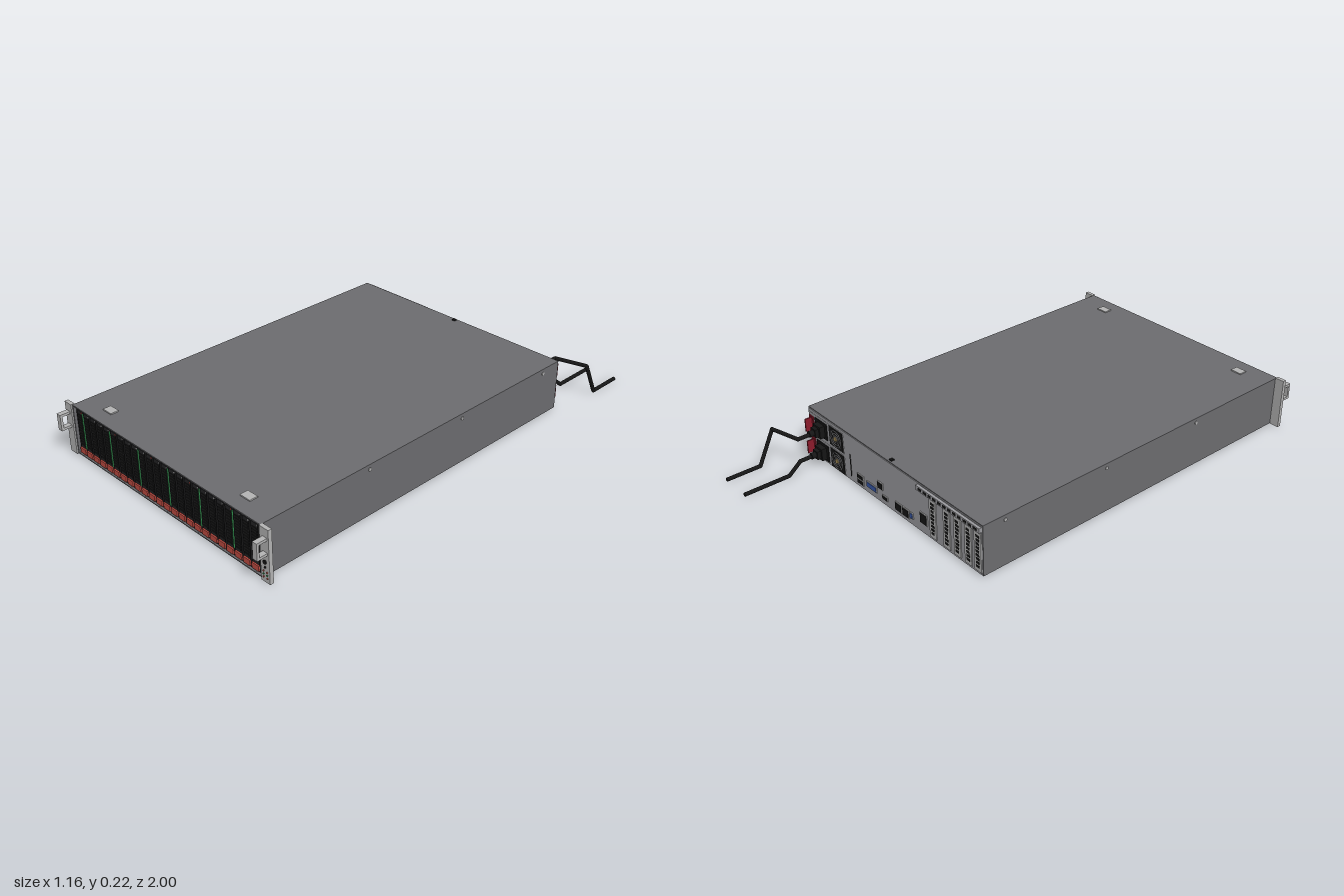
import * as THREE from 'three';

const mat = (color) => new THREE.MeshStandardMaterial({ color });
const M = {
  steel: mat(0x6c6c6f), light: mat(0xb4b4b4), panel: mat(0x9c9ca0), black: mat(0x161616),
  carrier: mat(0x232325), red: mat(0xc04c42), maroon: mat(0x8c1c2c), green: mat(0x2f8a4a),
  blue: mat(0x3858a8), gold: mat(0xa8905a),
};

// Box given by its min and max corners
function box(parent, name, m, x0, x1, y0, y1, z0, z1) {
  const mesh = new THREE.Mesh(new THREE.BoxGeometry(x1 - x0, y1 - y0, z1 - z0), m);
  mesh.position.set((x0 + x1) / 2, (y0 + y1) / 2, (z0 + z1) / 2);
  mesh.name = name;
  parent.add(mesh);
  return mesh;
}

// Disc with its axis along z (or x)
function disc(parent, name, m, r, depth, x, y, z, axis = 'z') {
  const g = new THREE.CylinderGeometry(r, r, depth, 20);
  if (axis === 'z') g.rotateX(Math.PI / 2); else g.rotateZ(Math.PI / 2);
  const mesh = new THREE.Mesh(g, m);
  mesh.position.set(x, y, z);
  mesh.name = name;
  parent.add(mesh);
  return mesh;
}

function group(parent, name) {
  const g = new THREE.Group();
  g.name = name;
  parent.add(g);
  return g;
}

const L = -0.54, R = 0.537, BOT = 0.006, TOP = 0.22, BACK = -0.63, FRONT = 0.95;

function buildChassis(root) {
  const g = group(root, 'chassis');
  box(g, 'body', M.steel, L, R, BOT, TOP, BACK, 0.92);
  // Rim around the drive bay
  box(g, 'bayTop', M.steel, L, R, TOP - 0.005, TOP, 0.92, FRONT);
  box(g, 'bayBottom', M.steel, L, R, BOT, BOT + 0.004, 0.92, FRONT);
  box(g, 'baySide', M.steel, L, L + 0.005, BOT + 0.004, TOP - 0.005, 0.92, FRONT);
  box(g, 'baySide', M.steel, R - 0.005, R, BOT + 0.004, TOP - 0.005, 0.92, FRONT);
  box(g, 'bayFace', M.black, L + 0.005, R - 0.005, BOT + 0.004, TOP - 0.005, 0.92, 0.938);
  // Lid latches, lid screw and side screws
  for (const x of [-0.4, 0.39]) box(g, 'lidLatch', M.light, x - 0.025, x + 0.025, TOP, 0.225, 0.855, 0.89);
  box(g, 'lidScrew', M.black, -0.01, 0.004, TOP, 0.225, -0.624, -0.61);
  for (const z of [-0.53, -0.04, 0.45])
    for (const x of [L, R]) disc(g, 'sideScrew', M.light, 0.007, 0.006, x, 0.2, z, 'x');
}

function buildDrives(root) {
  const bay = group(root, 'driveBay');
  const n = 24, pitch = 0.0436;
  for (let i = 0; i < n; i++) {
    const d = group(bay, 'driveCarrier');
    d.position.x = -0.503 + i * pitch;
    box(d, 'carrierFace', M.carrier, -0.019, 0.019, 0.014, 0.206, 0.936, 0.944);
    // Vent ribs
    for (let k = 0; k < 12; k++) {
      const y = 0.053 + k * 0.0118;
      box(d, 'ventSlot', M.black, -0.013, 0.011, y, y + 0.007, 0.943, 0.946);
    }
    box(d, 'releaseTab', M.red, -0.017, 0.017, 0.019, 0.042, 0.943, 0.95);
    box(d, 'statusStrip', i % 4 === 0 ? M.green : M.black, 0.0175, 0.0195, 0.045, 0.2, 0.942, 0.947);
    box(d, 'statusLight', i % 5 === 0 ? M.red : M.light, 0.01, 0.014, 0.198, 0.203, 0.943, 0.946);
    box(d, 'hinge', M.light, -0.002, 0.002, 0.009, 0.013, 0.937, 0.946);
  }
}

function buildEar(root, side) {
  const g = group(root, side > 0 ? 'leftEar' : 'rightEar');
  const inner = side > 0 ? R : -L;
  const X = (a, b) => (side > 0 ? [a, b] : [-b, -a]);
  box(g, 'earPlate', M.light, ...X(inner, 0.581), 0.004, 0.222, 0.94, 0.956);
  // Squared pull handle
  const shape = new THREE.Shape([[0, 0.119], [0.046, 0.119], [0.046, 0.188], [0, 0.188]].map(p => new THREE.Vector2(...p)));
  shape.holes.push(new THREE.Path([[0, 0.129], [0, 0.178], [0.036, 0.178], [0.036, 0.129]].map(p => new THREE.Vector2(...p))));
  const geo = new THREE.ExtrudeGeometry(shape, { depth: 0.022, bevelEnabled: false });
  geo.rotateY(-Math.PI / 2);
  const handle = new THREE.Mesh(geo, M.light);
  handle.name = 'pullHandle';
  handle.position.set(X(0.552, 0.574)[1], 0, 0.954);
  g.add(handle);
  if (side > 0) {
    // Power button and indicators
    disc(g, 'powerButton', M.black, 0.008, 0.006, 0.56, 0.087, 0.957);
    disc(g, 'resetButton', M.black, 0.004, 0.005, 0.56, 0.066, 0.957);
    for (let r = 0; r < 3; r++)
      for (const x of [0.551, 0.569])
        disc(g, 'indicator', r === 1 ? M.green : M.red, 0.0032, 0.004, x, 0.024 + r * 0.012, 0.957);
  }
}

function buildSupply(root, y, name) {
  const g = group(root, name);
  box(g, 'supplyFace', M.panel, 0.295, 0.53, y - 0.046, y + 0.046, BACK - 0.004, BACK + 0.01);
  box(g, 'socket', M.black, 0.405, 0.485, y - 0.036, y + 0.036, BACK - 0.008, BACK);
  // Fan with ring guard
  box(g, 'fanGrille', M.black, 0.298, 0.39, y - 0.042, y + 0.042, BACK - 0.006, BACK);
  for (const r of [0.014, 0.025, 0.036]) {
    const ring = new THREE.Mesh(new THREE.TorusGeometry(r, 0.0018, 6, 28), M.panel);
    ring.position.set(0.344, y, BACK - 0.008);
    ring.name = 'fanGuardRing';
    g.add(ring);
  }
  for (const a of [Math.PI / 4, -Math.PI / 4])
    box(g, 'fanGuardBar', M.panel, 0.304, 0.384, y - 0.0015, y + 0.0015, BACK - 0.009, BACK - 0.007).rotation.z = a;
  disc(g, 'fanHub', M.gold, 0.009, 0.006, 0.344, y, BACK - 0.008);
  // Release lever
  box(g, 'releaseLever', M.maroon, 0.507, 0.513, y - 0.028, y + 0.028, -0.668, BACK);
  box(g, 'leverFoot', M.maroon, 0.497, 0.525, y - 0.032, y + 0.032, BACK - 0.008, BACK);
  // Power plug
  box(g, 'plugBody', M.black, 0.418, 0.466, y - 0.026, y + 0.026, -0.66, BACK);
  box(g, 'plugNeck', M.black, 0.426, 0.458, y - 0.018, y + 0.018, -0.676, -0.66);
  disc(g, 'strainRelief', M.black, 0.013, 0.022, 0.442, y, -0.685);
}

function buildCable(root, name, pts) {
  const path = new THREE.CurvePath();
  const v = pts.map(p => new THREE.Vector3(...p));
  const g = group(root, name);
  // Straight runs with round joints
  for (let i = 0; i < v.length - 1; i++) {
    const run = new THREE.Mesh(new THREE.TubeGeometry(new THREE.LineCurve3(v[i], v[i + 1]), 1, 0.008, 10), M.black);
    run.name = 'cableRun';
    g.add(run);
    if (i > 0) {
      const joint = new THREE.Mesh(new THREE.SphereGeometry(0.008, 10, 8), M.black);
      joint.position.copy(v[i]);
      joint.name = 'cableBend';
      g.add(joint);
    }
  }
  disc(g, 'cableEnd', M.black, 0.008, 0.002, v.at(-1).x, v.at(-1).y, -0.999);
}

function buildRear(root) {
  const g = group(root, 'rearPanel');
  box(g, 'rearPlate', M.panel, L + 0.003, R - 0.003, BOT + 0.003, TOP - 0.004, BACK - 0.003, BACK + 0.005);
  // Ports: x, y, width, height, material
  const ports = [
    [0.19, 0.035, 0.035, 0.014, M.black], [0.19, 0.058, 0.035, 0.014, M.black],
    [0.115, 0.05, 0.06, 0.02, M.blue], [0.058, 0.085, 0.028, 0.024, M.black],
    [0.03, 0.042, 0.028, 0.012, M.black], [-0.055, 0.045, 0.034, 0.03, M.black],
    [-0.1, 0.045, 0.034, 0.03, M.black], [-0.135, 0.05, 0.014, 0.02, M.blue],
    [-0.21, 0.075, 0.036, 0.04, M.black],
  ];
  for (const [x, y, w, h, m] of ports) {
    box(g, 'portShell', M.light, x - w / 2 - 0.003, x + w / 2 + 0.003, y - h / 2 - 0.003, y + h / 2 + 0.003, BACK - 0.007, BACK);
    box(g, 'port', m, x - w / 2, x + w / 2, y - h / 2, y + h / 2, BACK - 0.009, BACK);
  }
  box(g, 'pullTag', M.black, 0.252, 0.256, 0.03, 0.13, BACK - 0.005, BACK);
  // Expansion slot covers with vents
  for (const x of [-0.265, -0.345, -0.405, -0.465, -0.517]) {
    box(g, 'slotCover', M.light, x - 0.019, x + 0.019, 0.02, 0.185, BACK - 0.007, BACK);
    for (let k = 0; k < 9; k++)
      box(g, 'slotVent', M.black, x - 0.009, x + 0.009, 0.035 + k * 0.016, 0.045 + k * 0.016, BACK - 0.008, BACK);
  }
  // Bracket rail over the slots
  box(g, 'slotRail', M.panel, -0.535, -0.18, 0.192, 0.212, -0.644, BACK);
  for (let k = 0; k < 12; k++)
    box(g, 'railVent', M.black, -0.522 + k * 0.028, -0.504 + k * 0.028, 0.197, 0.207, -0.645, -0.64);
}

export function createModel() {
  const root = new THREE.Group();
  root.name = 'rackServer';
  buildChassis(root);
  buildDrives(root);
  buildEar(root, 1);
  buildEar(root, -1);
  buildRear(root);
  buildSupply(root, 0.157, 'upperSupply');
  buildSupply(root, 0.056, 'lowerSupply');
  buildCable(root, 'upperCable', [[0.442, 0.155, -0.69], [0.442, 0.155, -0.745], [0.576, 0.155, -0.78], [0.576, 0.012, -0.85], [0.576, 0.012, -1]]);
  buildCable(root, 'lowerCable', [[0.442, 0.055, -0.69], [0.442, 0.055, -0.745], [0.442, 0.01, -0.8], [0.442, 0.01, -1]]);
  return root;
}
